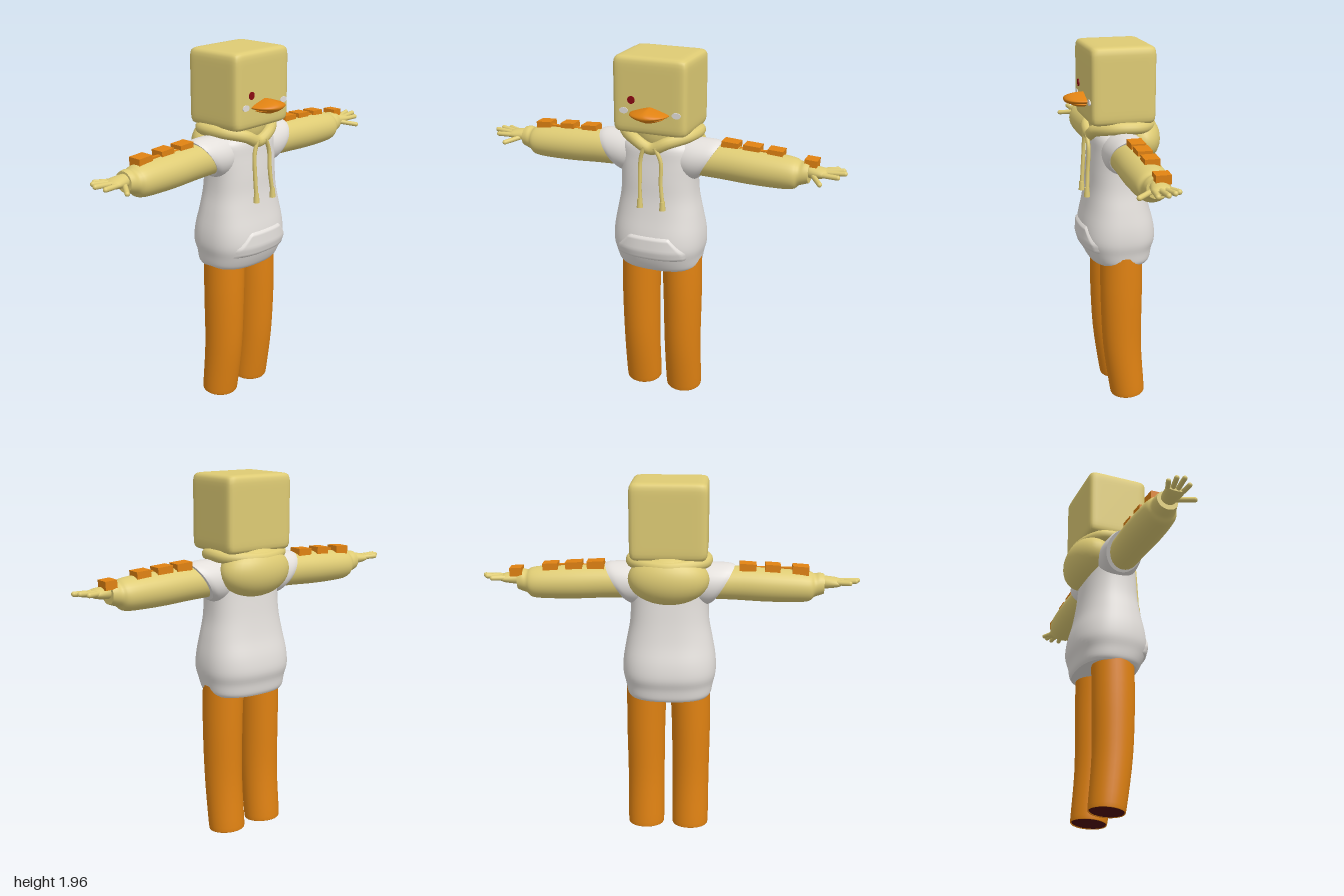
import * as THREE from 'three';
import { mergeVertices } from 'three/addons/utils/BufferGeometryUtils.js';

const mat = (name, color) => Object.assign(new THREE.MeshStandardMaterial({ color }), { name });

// Smooth skin through rings [cx,cy,cz, ux,uy,uz, vx,vy,vz]; e < 1 squares the section
function loft(rows, e = 1, n = 32, sub = 4) {
  const rings = [], at = i => rows[Math.min(Math.max(i, 0), rows.length - 1)];
  for (let i = 0; i < rows.length - 1; i++) for (let k = 0; k < sub; k++) {
    const t = k / sub;
    rings.push(at(i).map((p1, c) => {
      const p0 = at(i - 1)[c], p2 = at(i + 1)[c], p3 = at(i + 2)[c];
      return p1 + 0.5 * t * (p2 - p0 + t * (2 * p0 - 5 * p1 + 4 * p2 - p3 + t * (3 * (p1 - p2) + p3 - p0)));
    }));
  }
  rings.push(rows[rows.length - 1]);
  const pos = [], idx = [], pw = a => Math.sign(a) * Math.abs(a) ** e;
  const addRing = r => {
    for (let j = 0; j < n; j++) {
      const a = j / n * Math.PI * 2, c = pw(Math.cos(a)), s = pw(Math.sin(a));
      for (let k = 0; k < 3; k++) pos.push(r[k] + r[3 + k] * c + r[6 + k] * s);
    }
  };
  rings.forEach(addRing);
  for (let i = 0; i < rings.length - 1; i++) for (let j = 0; j < n; j++) {
    const a = i * n + j, b = i * n + (j + 1) % n;
    idx.push(a, b, b + n, a, b + n, a + n);
  }
  // flat end caps
  [rings[0], rings[rings.length - 1]].forEach((r, end) => {
    const base = pos.length / 3;
    addRing(r);
    pos.push(r[0], r[1], r[2]);
    for (let j = 0; j < n; j++) {
      const a = base + j, b = base + (j + 1) % n;
      idx.push(base + n, end ? a : b, end ? b : a);
    }
  });
  const g = new THREE.BufferGeometry();
  g.setAttribute('position', new THREE.Float32BufferAttribute(pos, 3));
  g.setIndex(idx);
  g.computeVertexNormals();
  return g;
}
const upRing = (x, y, z, rx, rz, tilt = 0) => [x, y, z, 0, tilt, rz, rx, 0, 0];
const sideRing = (s, x, y, z, ry, rz, shear = 0) => [s * x, y, z, s * shear, ry, 0, 0, 0, s * rz];

// Torso profile: height, half width, front z, back z
const TORSO = [
  [0.79, 0.215, 0.125, -0.19], [0.81, 0.228, 0.14, -0.2], [0.86, 0.238, 0.163, -0.208],
  [0.92, 0.251, 0.18, -0.224], [1.0, 0.249, 0.174, -0.216], [1.1, 0.232, 0.153, -0.19],
  [1.2, 0.213, 0.137, -0.172], [1.3, 0.208, 0.13, -0.16], [1.4, 0.212, 0.12, -0.15],
  [1.48, 0.2, 0.11, -0.14], [1.53, 0.12, 0.07, -0.1],
];
function torsoFront(x, y) {
  let i = 0;
  while (i < TORSO.length - 2 && TORSO[i + 1][0] < y) i++;
  const t = (y - TORSO[i][0]) / (TORSO[i + 1][0] - TORSO[i][0]);
  const [, rx, f, b] = TORSO[i].map((v, c) => v + (TORSO[i + 1][c] - v) * t);
  return (f + b) / 2 + (f - b) / 2 * Math.max(0, 1 - Math.abs(x / rx) ** 2.5) ** 0.4;
}

export function createModel() {
  const model = new THREE.Group();
  const yellow = mat('yellow', 0xdecb74), white = mat('offWhite', 0xe3dfdb), orange = mat('orange', 0xe08212);
  const eyeRed = mat('eyeRed', 0x8c0a12), soleRed = mat('soleRed', 0x500a10);
  const add = (name, geo, m, p = [0, 0, 0], sc = [1, 1, 1]) => {
    const mesh = new THREE.Mesh(geo, m);
    mesh.name = name;
    mesh.position.set(...p);
    mesh.scale.set(...sc);
    model.add(mesh);
    return mesh;
  };
  const ball = new THREE.SphereGeometry(1, 32, 20);

  // Head: softly bulging cube
  let head = new THREE.BoxGeometry(2, 2, 2, 20, 20, 20);
  head.deleteAttribute('uv');
  head.deleteAttribute('normal');
  head = mergeVertices(head);
  const hp = head.attributes.position, v = new THREE.Vector3();
  for (let i = 0; i < hp.count; i++) {
    v.fromBufferAttribute(hp, i);
    const k = (v.x ** 14 + v.y ** 14 + v.z ** 14) ** (-1 / 14);
    hp.setXYZ(i, v.x * k * 0.202, v.y * k * 0.2, v.z * k * 0.172);
  }
  head.computeVertexNormals();
  add('head', head, yellow, [0, 1.756, -0.02]);

  // Face
  const disc = new THREE.CylinderGeometry(1, 1, 0.006, 24).rotateX(Math.PI / 2);
  add('eye', disc, eyeRed, [-0.093, 1.735, 0.153], [0.02, 0.02, 1]);
  add('rightCheek', disc, white, [-0.135, 1.677, 0.153], [0.024, 0.016, 1]);
  add('leftCheek', disc, white, [0.153, 1.677, 0.153], [0.024, 0.016, 1]);
  const bill = ball.clone(), bp = bill.attributes.position;
  for (let i = 0; i < bp.count; i++) bp.setY(i, bp.getY(i) * (1 - 0.6 * Math.abs(bp.getX(i))));
  bill.computeVertexNormals();
  add('upperBeak', bill, orange, [0.01, 1.672, 0.155], [0.105, 0.036, 0.102]);
  add('lowerBeak', bill, orange, [0.012, 1.652, 0.15], [0.075, 0.024, 0.07]);

  // Hoodie body with shoulders
  add('torso', loft(TORSO.map(([y, rx, f, b]) => upRing(0, y, (f + b) / 2, rx, (f - b) / 2)), 0.8, 48), white);

  // Front pocket following the belly
  const pocket = new THREE.PlaneGeometry(2, 1, 24, 12), pp = pocket.attributes.position;
  for (let i = 0; i < pp.count; i++) {
    const u = pp.getX(i), t = pp.getY(i) + 0.5, y = 0.865 + 0.14 * t;
    const x = 0.005 + u * (t < 0.35 ? 0.2 : 0.2 - 0.09 * (t - 0.35) / 0.65);
    const border = Math.abs(u) > 0.99 || t < 0.01 || t > 0.99;
    pp.setXYZ(i, x, y, torsoFront(x, y) + (border ? -0.004 : 0.011));
  }
  pocket.computeVertexNormals();
  add('pocket', pocket, white);

  // Hood: neck, collar roll and hanging pouch
  add('neck', loft([upRing(0, 1.45, -0.01, 0.1, 0.1), upRing(0, 1.52, -0.02, 0.15, 0.135),
    upRing(0, 1.57, -0.03, 0.18, 0.15)]), yellow);
  const collarPath = new THREE.CatmullRomCurve3([
    [0, 1.475, 0.115], [0.09, 1.515, 0.11], [0.18, 1.54, 0.03], [0.18, 1.54, -0.12], [0, 1.53, -0.2],
    [-0.18, 1.54, -0.12], [-0.18, 1.54, 0.03], [-0.09, 1.515, 0.11],
  ].map(p => new THREE.Vector3(...p)), true);
  add('collar', new THREE.TubeGeometry(collarPath, 64, 0.032, 12, true), yellow);
  add('hoodPouch', ball, yellow, [0, 1.455, -0.135], [0.212, 0.135, 0.12]);

  // Drawstrings
  for (const [x0, x1, x2] of [[-0.03, -0.05, -0.05], [0.03, 0.062, 0.078]]) {
    const path = new THREE.CatmullRomCurve3([[x0, 1.49, 0.14], [x1, 1.42, 0.137], [x1 * 1.05, 1.3, 0.143],
      [x2, 1.19, 0.15]].map(p => new THREE.Vector3(...p)));
    add('drawstring', new THREE.TubeGeometry(path, 24, 0.011, 8), yellow);
    add('drawstringTip', new THREE.CylinderGeometry(0.013, 0.017, 0.05, 12), yellow, [x2, 1.182, 0.151]);
  }

  for (const s of [-1, 1]) {
    const side = s > 0 ? 'left' : 'right';
    // Shoulder cap and sleeve
    add(side + 'Shoulder', loft([sideRing(s, 0.08, 1.42, -0.02, 0.1, 0.1),
      sideRing(s, 0.18, 1.41, -0.022, 0.112, 0.115, 0.03), sideRing(s, 0.25, 1.408, -0.024, 0.112, 0.112, 0.055),
      sideRing(s, 0.283, 1.41, -0.024, 0.1, 0.103, 0.06)]), white);
    add(side + 'Sleeve', loft([
      [0.18, 1.41, 0.085, 0.09], [0.35, 1.41, 0.09, 0.092], [0.5, 1.405, 0.092, 0.097], [0.65, 1.4, 0.088, 0.094],
      [0.73, 1.398, 0.08, 0.086], [0.76, 1.403, 0.062, 0.07], [0.785, 1.41, 0.06, 0.064], [0.81, 1.412, 0.053, 0.058],
    ].map(([x, y, ry, rz]) => sideRing(s, x, y, -0.015, ry, rz))), yellow);

    // Hand
    add(side + 'Palm', loft([[0.79, 0.034, 0.035], [0.83, 0.032, 0.045], [0.88, 0.024, 0.052], [0.905, 0.012, 0.045]]
      .map(([x, ry, rz]) => sideRing(s, x, 1.42, -0.012, ry, rz)), 1, 20), yellow);
    const fingers = [[0.88, 1.425, -0.048, 0.952, 1.43, -0.076], [0.88, 1.425, -0.025, 0.985, 1.435, -0.045],
      [0.88, 1.425, 0, 1, 1.432, -0.008], [0.88, 1.42, 0.026, 0.972, 1.42, 0.034],
      [0.83, 1.41, 0.015, 0.893, 1.395, 0.108]];
    for (const [ax, ay, az, bx, by, bz] of fingers) {
      const a = new THREE.Vector3(s * ax, ay, az), b = new THREE.Vector3(s * bx, by, bz), r = 0.013;
      const d = b.clone().sub(a), len = d.length();
      d.normalize();
      const mid = a.addScaledVector(d, (len - r) / 2);
      add(side + 'Finger', new THREE.CapsuleGeometry(r, len - r, 5, 12), yellow, mid.toArray())
        .quaternion.setFromUnitVectors(new THREE.Vector3(0, 1, 0), d);
    }

    // Trouser leg and sole
    const x = 0.0065 + s * 0.1245;
    add(side + 'Leg', loft([upRing(x, 0.012, -0.06, 0.094, 0.09, -0.008), upRing(x, 0.03, -0.058, 0.101, 0.096, -0.006),
      upRing(x, 0.3, -0.03, 0.102, 0.106), upRing(x, 0.6, -0.024, 0.106, 0.114),
      upRing(x - s * 0.006, 0.84, -0.025, 0.11, 0.115)]), orange);
    add(side + 'Sole', loft([upRing(x, 0.008, -0.06, 0.092, 0.088, -0.008),
      upRing(x, 0.014, -0.06, 0.092, 0.088, -0.008)], 1, 32, 1), soleRed);
  }

  // Blocks along the tops of the arms, joined by thin strips
  const blocks = [[-0.685, 1.49, 0.085], [-0.54, 1.497, 0.08], [-0.41, 1.5, 0.088],
    [0.39, 1.503, 0.09], [0.505, 1.497, 0.088], [0.63, 1.489, 0.08], [0.815, 1.462, 0.065]];
  blocks.forEach(([x, y, w], i) => {
    add('armBlock', new THREE.BoxGeometry(w, 0.045, 0.075), orange, [x, y, -0.028])
      .rotation.z = -Math.sign(x) * 0.06;
  });
  add('rightArmStrip', new THREE.BoxGeometry(0.26, 0.02, 0.02), orange, [-0.55, 1.489, -0.012]);
  add('leftArmStrip', new THREE.BoxGeometry(0.22, 0.02, 0.02), orange, [0.51, 1.489, -0.012]);

  return model;
}
